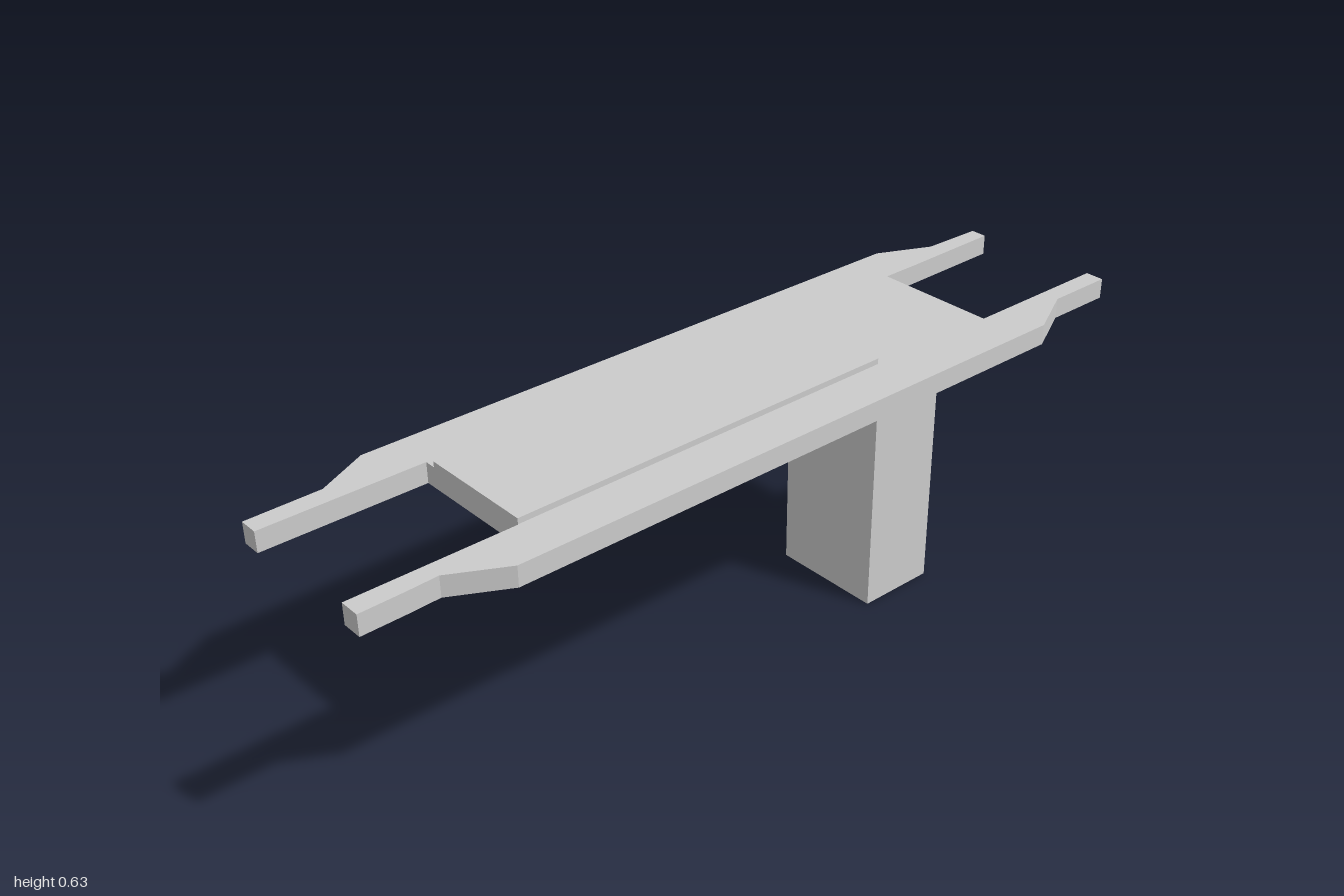
import * as THREE from 'three';

export function createModel() {
  const model = new THREE.Group();
  const material = new THREE.MeshStandardMaterial({ color: 0xcccccc, flatShading: true });

  // Extrude an outline given in (x, z) between two heights
  function slab(name, outline, bottom, top) {
    const shape = new THREE.Shape(outline.map(([x, z]) => new THREE.Vector2(x, z)));
    const geometry = new THREE.ExtrudeGeometry(shape, { depth: top - bottom, bevelEnabled: false });
    geometry.rotateX(Math.PI / 2).translate(0, top, 0);
    const mesh = new THREE.Mesh(geometry, material);
    mesh.name = name;
    model.add(mesh);
  }

  // Flat deck with tapered shoulders and two prongs at each end
  slab('deck', [
    [-1, -0.194], [-0.83, -0.196], [-0.71, -0.256], [0.715, -0.256], [0.84, -0.198], [0.985, -0.194],
    [0.985, -0.155], [0.73, -0.15], [0.64, -0.15], [0.64, 0.146],
    [1, 0.146], [1, 0.19], [0.84, 0.19], [0.715, 0.255], [-0.71, 0.255], [-0.83, 0.19],
    [-0.9, 0.193], [-1, 0.195], [-1, 0.148], [-0.63, 0.148], [-0.63, -0.15], [-1, -0.15],
  ], 0.568, 0.615);

  // Thin raised pad, flush with the notch at the -x end
  slab('topPad', [
    [-0.63, -0.124], [0.31, -0.127], [0.31, 0.142], [-0.63, 0.147],
  ], 0.61, 0.628);

  // Supporting column
  slab('column', [
    [0.31, -0.124], [0.498, -0.124], [0.498, 0.147], [0.31, 0.147],
  ], 0, 0.57);

  return model;
}
